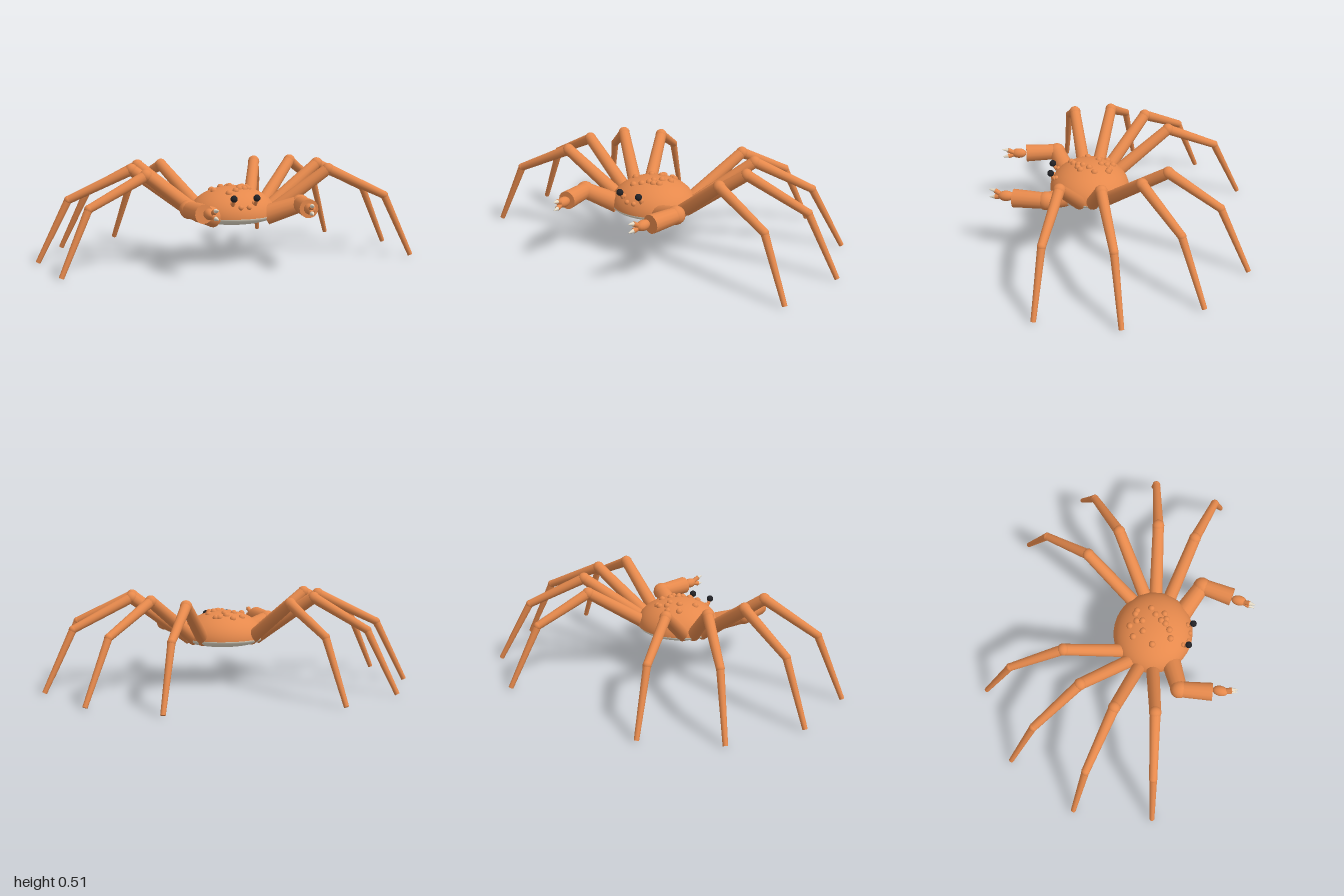
import * as THREE from 'three';

const material = (name, color) => {
  const m = new THREE.MeshStandardMaterial({ color });
  m.name = name;
  return m;
};

export function createModel() {
  const shell = material('orange shell', 0xe6894c);
  const cream = material('cream underside', 0xe6dcc8);
  const black = material('black eyes', 0x222226);
  const model = new THREE.Group();
  model.name = 'crab';
  const vec = (p) => new THREE.Vector3(...p);

  function add(parent, name, geometry, mat) {
    const mesh = new THREE.Mesh(geometry, mat);
    mesh.name = name;
    parent.add(mesh);
    return mesh;
  }

  function ball(parent, name, p, r, mat = shell) {
    const mesh = add(parent, name, new THREE.SphereGeometry(r, 14, 10), mat);
    mesh.position.set(...p);
    return mesh;
  }

  // Tapered round segment running from a to b
  function segment(parent, name, a, b, ra, rb, mat = shell) {
    const start = vec(a), end = vec(b), along = end.clone().sub(start);
    const mesh = add(parent, name, new THREE.CylinderGeometry(rb, ra, along.length(), 14), mat);
    mesh.position.copy(start).add(end).multiplyScalar(0.5);
    mesh.quaternion.setFromUnitVectors(new THREE.Vector3(0, 1, 0), along.normalize());
    return mesh;
  }

  // Body: tall upper dome and shallow belly meeting at one rim
  const C = { x: 0, y: 0.25, z: 0.172 }, R = { x: 0.228, y: 0.145, z: 0.212 };
  const dome = add(model, 'carapace', new THREE.SphereGeometry(1, 40, 16, 0, Math.PI * 2, 0, Math.PI / 2), shell);
  dome.scale.set(R.x, R.y, R.z);
  dome.position.set(C.x, C.y, C.z);
  const belly = add(model, 'belly', new THREE.SphereGeometry(1, 40, 12, 0, Math.PI * 2, Math.PI / 2, Math.PI / 2), cream);
  belly.scale.set(R.x, 0.05, R.z);
  belly.position.set(C.x, C.y, C.z);

  // Bumps scattered over the shell, sunk a little into its surface
  const bumps = [
    [-0.03, 0.05], [-0.085, 0.08], [0, 0.08], [-0.05, 0.125], [0.005, 0.11], [0.04, 0.065],
    [0.06, 0.07], [0.087, 0.14], [-0.107, 0.187], [0.053, 0.17], [0.027, 0.205], [0.07, 0.215],
    [0.043, 0.23], [0.016, 0.23], [-0.011, 0.257], [-0.053, 0.273],
  ];
  for (const [x, z] of bumps) {
    const k = 1 - (x / R.x) ** 2 - ((z - C.z) / R.z) ** 2;
    ball(model, 'shellBump', [x, C.y + R.y * Math.sqrt(k) - 0.004, z], 0.018);
  }

  // Row of small bumps curving under the eyes
  for (const [x, y] of [[-0.057, 0.326], [-0.022, 0.307], [0.022, 0.307], [0.057, 0.326]]) {
    const k = 1 - (x / R.x) ** 2 - ((y - C.y) / R.y) ** 2;
    ball(model, 'mouthBump', [x, y, C.z + R.z * Math.sqrt(k)], 0.013);
  }

  // Legs on one side: root, knee, ankle, foot
  const legs = [
    [[0.19, 0.25, 0.212], [0.49, 0.478, 0.285], [0.79, 0.335, 0.345], [0.935, 0.012, 0.38]],
    [[0.19, 0.25, 0.145], [0.515, 0.487, 0.08], [0.83, 0.335, 0.005], [0.985, 0.012, -0.035]],
    [[0.17, 0.25, 0.1], [0.435, 0.487, -0.115], [0.67, 0.335, -0.31], [0.80, 0.012, -0.425]],
    [[0.13, 0.25, 0.06], [0.272, 0.473, -0.245], [0.385, 0.335, -0.51], [0.45, 0.012, -0.66]],
  ];

  for (const s of [1, -1]) {
    const m = ([x, y, z]) => [x * s, y, z];
    const side = s > 0 ? 'left' : 'right';

    legs.forEach((points, i) => {
      const leg = new THREE.Group();
      leg.name = `${side}Leg${i + 1}`;
      model.add(leg);
      const [root, knee, ankle, foot] = points.map(m);
      segment(leg, 'upperLeg', root, knee, 0.036, 0.03);
      ball(leg, 'knee', knee, 0.032);
      segment(leg, 'middleLeg', knee, ankle, 0.028, 0.021);
      ball(leg, 'ankle', ankle, 0.022);
      segment(leg, 'lowerLeg', ankle, foot, 0.02, 0.013);
    });

    // Front arm with a thick forearm
    const arm = new THREE.Group();
    arm.name = `${side}Arm`;
    model.add(arm);
    const elbow = m([0.297, 0.315, 0.375]), wrist = m([0.272, 0.315, 0.545]);
    segment(arm, 'upperArm', m([0.14, 0.255, 0.3]), elbow, 0.052, 0.043);
    ball(arm, 'elbow', elbow, 0.048);
    segment(arm, 'forearm', elbow, wrist, 0.042, 0.048);

    // Pincer: oval palm and two fingers with cream tips
    const palm = ball(arm, 'palm', m([0.259, 0.32, 0.585]), 0.027);
    palm.scale.z = 1.55;
    for (const d of [1, -1]) {
      const base = m([0.253, 0.32 + d * 0.006, 0.612]);
      const mid = m([0.246, 0.325 + d * 0.018, 0.643]);
      const tip = m([0.241, 0.326 + d * 0.022, 0.673]);
      segment(arm, 'finger', base, mid, 0.012, 0.013);
      segment(arm, 'fingerTip', mid, tip, 0.011, 0.002, cream);
    }

    // Eye on a short stalk rising from the face
    segment(model, `${side}EyeStalk`, m([0.06, 0.318, 0.352]), m([0.061, 0.35, 0.373]), 0.009, 0.009);
    ball(model, `${side}Eye`, m([0.061, 0.355, 0.374]), 0.018, black);
  }
  return model;
}
